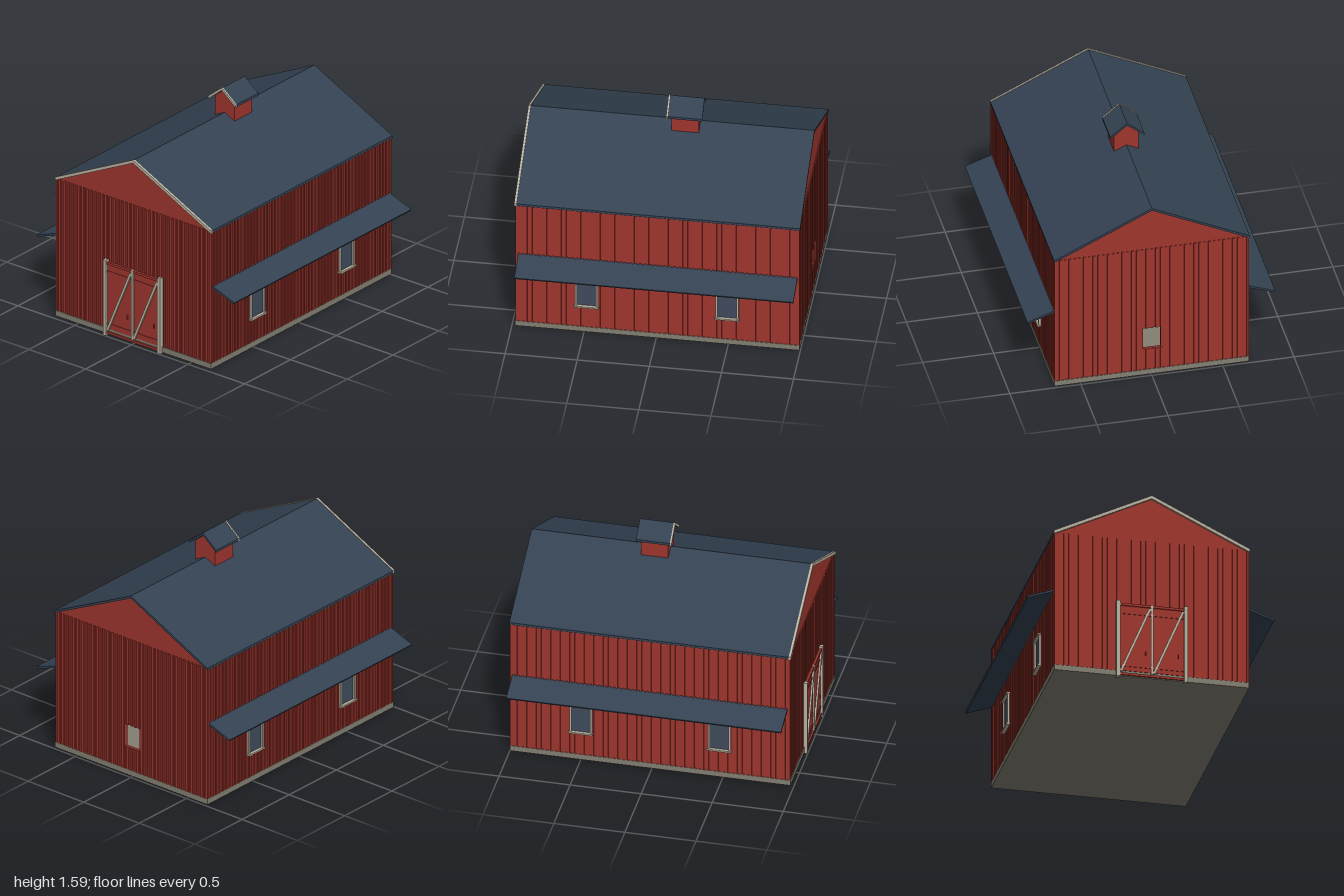
import * as THREE from 'three';
import { mergeGeometries } from 'three/addons/utils/BufferGeometryUtils.js';

const mat = (name, color) => new THREE.MeshStandardMaterial({ name, color });

export function createModel() {
  const red = mat('barn red', 0x9e352d);
  const slate = mat('slate roof', 0x344252);
  const cream = mat('cream trim', 0xb9b19f);
  const stone = mat('stone base', 0x827f71);
  const glass = mat('window glass', 0x3f4b5b);

  const model = new THREE.Group();
  model.name = 'barn';

  const add = (name, geometry, material, parent = model) => {
    const mesh = new THREE.Mesh(geometry, material);
    mesh.name = name;
    parent.add(mesh);
    return mesh;
  };
  // Box given by its limits on each axis
  const span = (x0, x1, y0, y1, z0, z1) =>
    new THREE.BoxGeometry(x1 - x0, y1 - y0, z1 - z0)
      .translate((x0 + x1) / 2, (y0 + y1) / 2, (z0 + z1) / 2);
  // Front-facing outline extruded from z0 to z1
  const prism = (points, z0, z1, hole) => {
    const shape = new THREE.Shape(points.map(([x, y]) => new THREE.Vector2(x, y)));
    if (hole) shape.holes.push(new THREE.Path(hole.map(([x, y]) => new THREE.Vector2(x, y))));
    return new THREE.ExtrudeGeometry(shape, { depth: z1 - z0, bevelEnabled: false }).translate(0, 0, z0);
  };
  // Inverted V: half width, eave height, ridge height (top edge), thickness
  const chevron = (w, eave, ridge, t) =>
    [[-w, eave - t], [0, ridge - t], [w, eave - t], [w, eave], [0, ridge], [-w, eave]];

  // Stone base
  add('foundation', span(-0.685, 0.685, 0.01, 0.05, -0.995, 0.978), stone);

  // Hollow walls, the back one with a small opening
  const gable = [[-0.677, 0.05], [0.677, 0.05], [0.677, 1.045], [0, 1.372], [-0.677, 1.045]];
  const opening = [[-0.065, 0.22], [-0.065, 0.39], [0.06, 0.39], [0.06, 0.22]];
  add('frontWall', prism(gable, 0.947, 0.967), red);
  add('backWall', prism(gable, -0.987, -0.967, opening), red);
  for (const s of [-1, 1]) {
    add('sideWall', span(-0.01, 0.01, 0.05, 1.05, -0.967, 0.947).translate(s * 0.667, 0, 0), red);
  }

  // Vertical battens on all four walls
  const battens = [];
  const half = 0.0075;
  const nx = 40;
  for (let i = 0; i <= nx; i++) {
    const x = -0.677 + (1.354 * i) / nx;
    battens.push(span(x - half, x + half, 0.05, 1.05, 0.967, 0.975));
    const cut = x > -0.07 && x < 0.065;
    for (const [y0, y1] of cut ? [[0.05, 0.22], [0.39, 1.05]] : [[0.05, 1.05]]) {
      battens.push(span(x - half, x + half, y0, y1, -0.995, -0.987));
    }
  }
  const nz = 58;
  for (let i = 0; i <= nz; i++) {
    const z = -0.987 + (1.954 * i) / nz;
    for (const s of [-1, 1]) {
      battens.push(span(-0.004, 0.004, 0.05, 1.05, z - half, z + half).translate(s * 0.681, 0, 0));
    }
  }
  add('battens', mergeGeometries(battens), red);

  // Main roof and its front trim
  add('roof', prism(chevron(0.688, 1.058, 1.39, 0.018), -1, 0.967), slate);
  add('roofTrim', prism(chevron(0.688, 1.062, 1.395, 0.024), 0.967, 0.983), cream);

  // Side awnings and windows
  for (const s of [-1, 1]) {
    const awning = [[0.677, 0.614], [0.866, 0.547], [0.872, 0.56], [0.677, 0.63]];
    const outline = s > 0 ? awning : awning.map(([x, y]) => [-x, y]).reverse();
    add('awning', prism(outline, -0.98, 0.955), slate);

    for (const z of [0.48, -0.495]) {
      const win = new THREE.Group();
      win.name = 'window';
      win.position.set(s * 0.684, 0.35, z);
      model.add(win);
      const out = (depth) => (s > 0 ? [-0.004, depth] : [-depth, 0.004]);
      add('pane', span(...out(0.004), -0.11, 0.11, -0.072, 0.072), glass, win);
      for (const e of [-1, 1]) {
        add('jamb', span(...out(0.016), -0.112, 0.112, -0.007, 0.007).translate(0, 0, e * 0.073), cream, win);
        add('headOrSill', span(...out(0.026), -0.006, 0.006, -0.085, 0.085).translate(0, e * 0.116, 0), cream, win);
      }
    }
  }

  // Double barn door
  const doors = new THREE.Group();
  doors.name = 'doors';
  model.add(doors);
  const slant = Math.atan2(0.49, 0.205);
  for (const s of [-1, 1]) {
    const cx = s * 0.116;
    add('doorLeaf', span(cx - 0.109, cx + 0.109, 0.05, 0.55, 0.965, 0.982), red, doors);
    add('doorPost', span(-0.013, 0.013, 0, 0.573, 0.967, 0.998).translate(s * 0.238, 0, 0), cream, doors);
    const brace = add('doorBrace', new THREE.BoxGeometry(0.53, 0.018, 0.012), cream, doors);
    brace.position.set(cx, 0.288, 0.988);
    brace.rotation.z = slant;
    for (const y of [0.088, 0.485]) {
      add('doorRail', span(cx - 0.108, cx + 0.108, y - 0.006, y + 0.006, 0.98, 0.986), red, doors);
    }
    add('doorHandle', span(cx + 0.068, cx + 0.074, 0.175, 0.205, 0.98, 0.992), red, doors);
  }
  add('doorCentreStile', span(-0.008, 0.008, 0.035, 0.56, 0.975, 0.994), cream, doors);
  add('doorHead', span(-0.225, 0.225, 0.54, 0.557, 0.967, 0.99), red, doors);
  add('doorSill', span(-0.235, 0.235, 0.015, 0.032, 0.967, 0.99), red, doors);

  // Roof cupola
  const cupola = new THREE.Group();
  cupola.name = 'cupola';
  model.add(cupola);
  add('cupolaBody', prism([[-0.087, 1.33], [0.087, 1.33], [0.087, 1.49], [0, 1.565], [-0.087, 1.49]], -0.21, -0.02), red, cupola);
  add('cupolaRoof', prism(chevron(0.12, 1.49, 1.585, 0.018), -0.238, 0), slate, cupola);
  add('cupolaTrim', prism(chevron(0.122, 1.49, 1.588, 0.022), 0, 0.012), cream, cupola);

  return model;
}
